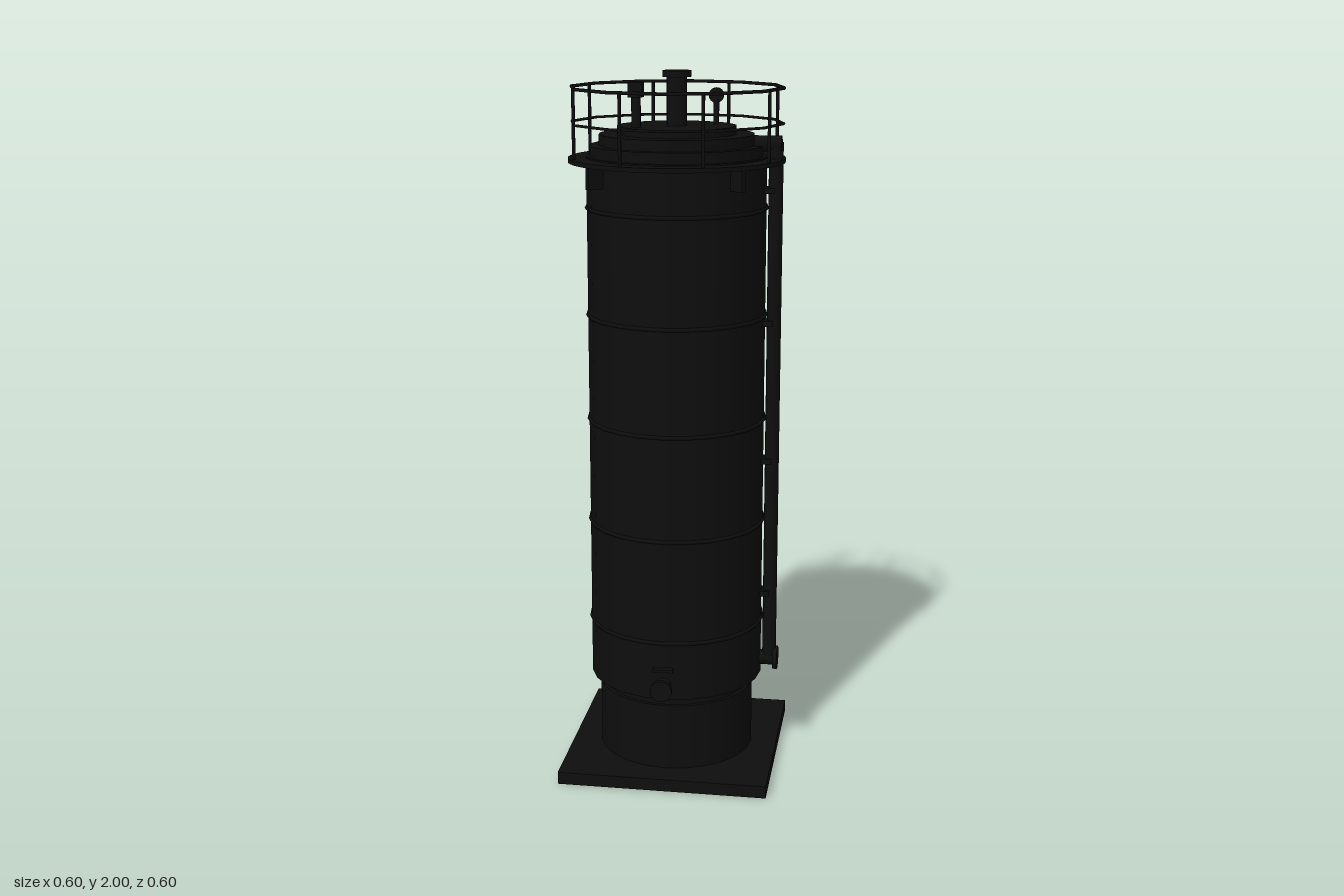
import * as THREE from 'three';

const black = new THREE.MeshStandardMaterial({ color: 0x0e0e0e });
black.name = 'near black';

export function createModel() {
  const root = new THREE.Group();
  root.name = 'storageSilo';

  const add = (name, geometry, x = 0, y = 0, z = 0, parent = root) => {
    const mesh = new THREE.Mesh(geometry, black);
    mesh.name = name;
    mesh.position.set(x, y, z);
    parent.add(mesh);
    return mesh;
  };
  const box = (name, w, h, d, x, y, z, parent) =>
    add(name, new THREE.BoxGeometry(w, h, d), x, y, z, parent);
  // Upright cylinder from y0 to y1
  const column = (name, r, y0, y1, x = 0, z = 0, sides = 24, parent = root) =>
    add(name, new THREE.CylinderGeometry(r, r, y1 - y0, sides), x, (y0 + y1) / 2, z, parent);
  // Cylinder lying along x or z between two coordinates
  const alongX = (name, r, x0, x1, y, z) => {
    const m = add(name, new THREE.CylinderGeometry(r, r, x1 - x0, 16), (x0 + x1) / 2, y, z);
    m.rotation.z = Math.PI / 2;
  };
  const alongZ = (name, r, z0, z1, x, y) => {
    const m = add(name, new THREE.CylinderGeometry(r, r, z1 - z0, 16), x, y, (z0 + z1) / 2);
    m.rotation.x = Math.PI / 2;
  };
  const hoop = (name, r, tube, y, segments) => {
    const m = add(name, new THREE.TorusGeometry(r, tube, 6, segments), 0, y, 0);
    m.rotation.x = Math.PI / 2;
  };

  // Foundation, skirt and shell
  box('baseSlab', 0.6, 0.036, 0.6, 0, 0.018, 0);
  column('skirt', 0.225, 0.036, 0.23);
  column('skirtNeck', 0.215, 0.23, 0.26);
  column('shell', 0.25, 0.26, 1.77);
  for (let i = 0; i < 5; i++) hoop('shellBand', 0.25, 0.006, 0.43 + i * 0.3, 24);

  // Stepped roof
  column('roofStepLower', 0.24, 1.77, 1.8);
  column('roofStepMiddle', 0.215, 1.8, 1.83);
  column('roofStepUpper', 0.165, 1.83, 1.852);

  // Walkway ring with diagonal brackets
  const ring = new THREE.Shape().absarc(0, 0, 0.3, 0, Math.PI * 2);
  ring.holes.push(new THREE.Path().absarc(0, 0, 0.24, 0, Math.PI * 2, true));
  const deck = add('walkway', new THREE.ExtrudeGeometry(ring,
    { depth: 0.012, bevelEnabled: false, curveSegments: 24 }), 0, 1.766, 0);
  deck.rotation.x = Math.PI / 2;
  for (let i = 0; i < 4; i++) {
    const bracket = new THREE.Group();
    bracket.name = 'walkwayBracket';
    bracket.rotation.y = Math.PI / 4 + i * Math.PI / 2;
    box('bracketPlate', 0.055, 0.06, 0.012, 0.27, 1.726, 0, bracket);
    root.add(bracket);
  }

  // Railing
  hoop('middleRail', 0.294, 0.004, 1.86, 12);
  hoop('topRail', 0.294, 0.005, 1.955, 12);
  for (let i = 0; i < 8; i++) {
    const a = (i + 0.5) * Math.PI / 4;
    column('railPost', 0.005, 1.76, 1.955, Math.cos(a) * 0.288, Math.sin(a) * 0.288, 6);
  }

  // Roof fittings
  column('centreVent', 0.028, 1.85, 1.99, 0, 0, 16);
  column('centreVentCap', 0.04, 1.983, 2, 0, 0, 16);
  column('valveStem', 0.013, 1.85, 1.94, -0.1, 0.075, 10);
  box('valveHead', 0.038, 0.04, 0.038, -0.1, 1.952, 0.075);
  column('gaugeStem', 0.008, 1.85, 1.92, 0.1, -0.07, 8);
  alongZ('gaugeDial', 0.021, -0.076, -0.064, 0.1, 1.93);

  // Fill pipe on the side
  column('fillPipe', 0.02, 0.29, 1.81, 0.275, 0, 16);
  alongX('fillPipeTop', 0.022, 0.215, 0.29, 1.806, 0);
  alongX('fillCoupling', 0.022, 0.245, 0.288, 0.305, 0);
  alongX('fillFlange', 0.034, 0.287, 0.3, 0.305, 0);
  for (const y of [0.51, 0.91, 1.31, 1.68])
    box('pipeClamp', 0.03, 0.016, 0.05, 0.26, y, 0);

  // Front outlet
  alongZ('outletPipe', 0.022, 0.24, 0.295, 0, 0.305);
  alongZ('outletFlange', 0.031, 0.287, 0.3, 0, 0.305);
  box('outletHood', 0.056, 0.008, 0.03, 0, 0.352, 0.25);

  // Ladder at the back
  for (const s of [-1, 1])
    box('ladderRail', 0.01, 1.73, 0.014, s * 0.05, 0.9, -0.265);
  for (let y = 0.1; y < 1.74; y += 0.07)
    box('ladderRung', 0.1, 0.008, 0.008, 0, y, -0.265);

  return root;
}
